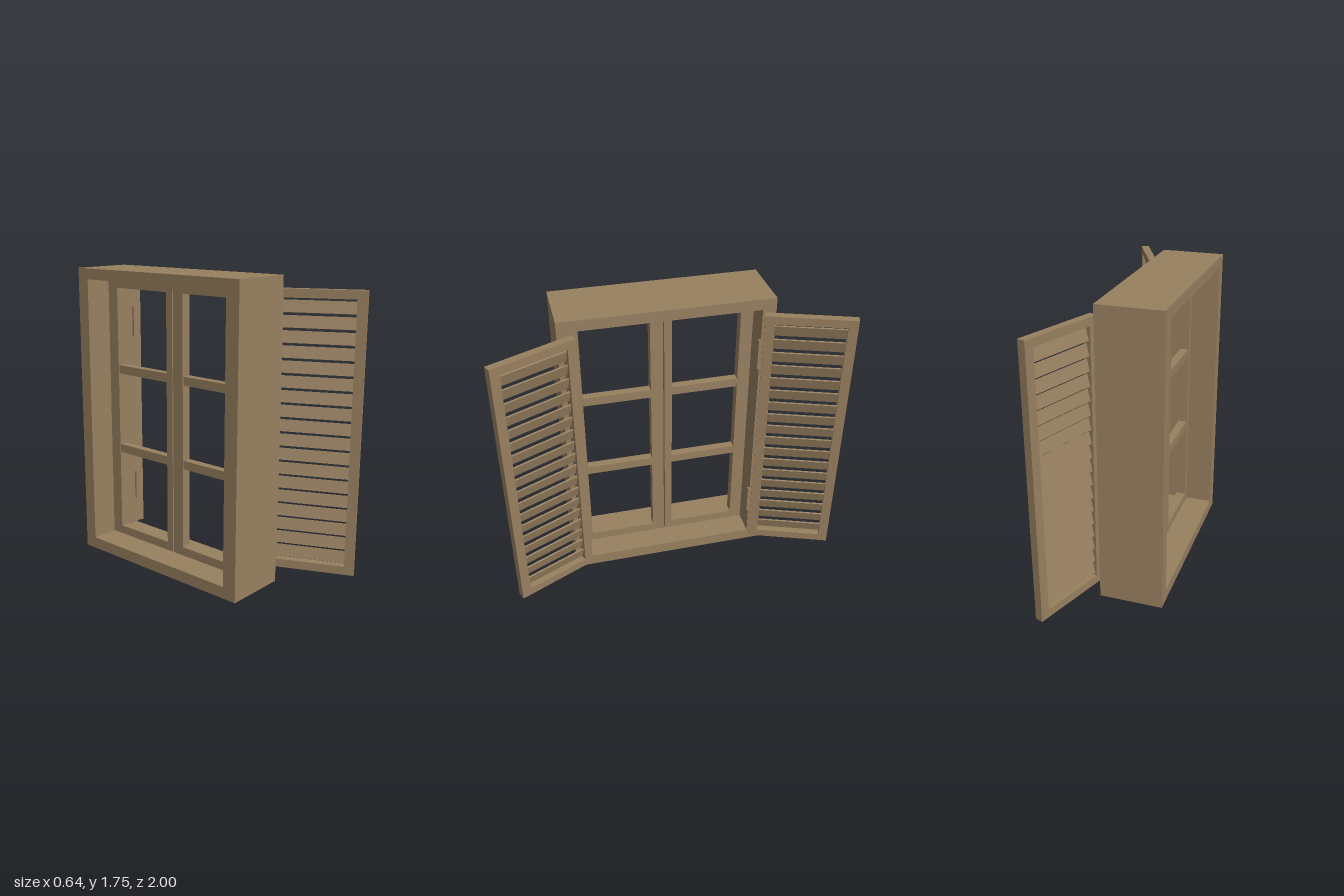
import * as THREE from 'three';

const wood = new THREE.MeshStandardMaterial({ color: 0x988060 });
wood.name = 'brown wood';

// Box given by its min and max corners
function block(parent, name, [x0, y0, z0], [x1, y1, z1]) {
  const mesh = new THREE.Mesh(new THREE.BoxGeometry(x1 - x0, y1 - y0, z1 - z0), wood);
  mesh.position.set((x0 + x1) / 2, (y0 + y1) / 2, (z0 + z1) / 2);
  mesh.name = name;
  parent.add(mesh);
  return mesh;
}

// Rectangular frame facing x, with one opening cut through; rectangles are [z0, y0, z1, y1]
function panel(parent, name, x0, x1, outer, opening) {
  const trace = (path, [z0, y0, z1, y1]) => {
    path.moveTo(-z1, y0);
    path.lineTo(-z0, y0);
    path.lineTo(-z0, y1);
    path.lineTo(-z1, y1);
    path.closePath();
    return path;
  };
  const shape = trace(new THREE.Shape(), outer);
  shape.holes.push(trace(new THREE.Path(), opening));
  const geometry = new THREE.ExtrudeGeometry(shape, { depth: x1 - x0, bevelEnabled: false });
  geometry.rotateY(Math.PI / 2).translate(x0, 0, 0);
  const mesh = new THREE.Mesh(geometry, wood);
  mesh.name = name;
  parent.add(mesh);
}

// One glazing leaf: frame plus two slimmer crossbars
function sash(name, z0) {
  const g = new THREE.Group();
  g.name = name;
  const z1 = z0 + 0.52, a = z0 + 0.074, b = z1 - 0.045;
  panel(g, 'sashFrame', -0.155, -0.096, [z0, 0.07, z1, 1.69], [a, 0.123, b, 1.634]);
  for (const y of [0.639, 1.14]) {
    block(g, 'crossbar', [-0.15, y - 0.026, a], [-0.1, y + 0.026, b]);
  }
  return g;
}

// Louvred shutter swung out from its hinge corner; side is the sign of z
function shutter(name, side, x, z, degrees) {
  const g = new THREE.Group();
  g.name = name;
  const length = 0.506, depth = 0.047, stile = 0.055, bottom = 0.073, top = 1.678;
  const span = (a, b) => (side > 0 ? [a, b] : [-b, -a]);
  const [z0, z1] = span(0, length);
  const [a, b] = span(stile, length - stile);
  panel(g, 'shutterFrame', 0, depth, [z0, bottom, z1, top], [a, 0.122, b, 1.63]);
  const count = 18;
  for (let i = 0; i < count; i++) {
    const y = 0.171 + (i * (1.583 - 0.171)) / (count - 1);
    const slat = block(g, 'slat', [depth / 2 - 0.005, y - 0.034, a], [depth / 2 + 0.005, y + 0.034, b]);
    slat.rotation.z = THREE.MathUtils.degToRad(-15);
  }
  g.position.set(x, 0, z);
  g.rotation.y = THREE.MathUtils.degToRad(side * degrees);
  return g;
}

export function createModel() {
  const model = new THREE.Group();
  model.name = 'shutteredWindow';

  // Deep outer casing
  panel(model, 'casing', -0.32, 0.053, [-0.593, 0, 0.617, 1.753], [-0.515, 0.07, 0.532, 1.69]);

  // Pair of glazing leaves
  model.add(sash('leftSash', 0.012), sash('rightSash', -0.515));

  // Open shutters
  model.add(shutter('leftShutter', 1, 0.061, 0.54, 25));
  model.add(shutter('rightShutter', -1, 0.06, -0.525, 20));

  // Slim hinges on the casing's inner edges
  for (const z of [-0.509, 0.526]) {
    for (const y of [0.335, 1.41]) {
      block(model, 'hinge', [0.038, y - 0.092, z - 0.007], [0.058, y + 0.092, z + 0.007]);
    }
  }
  return model;
}
